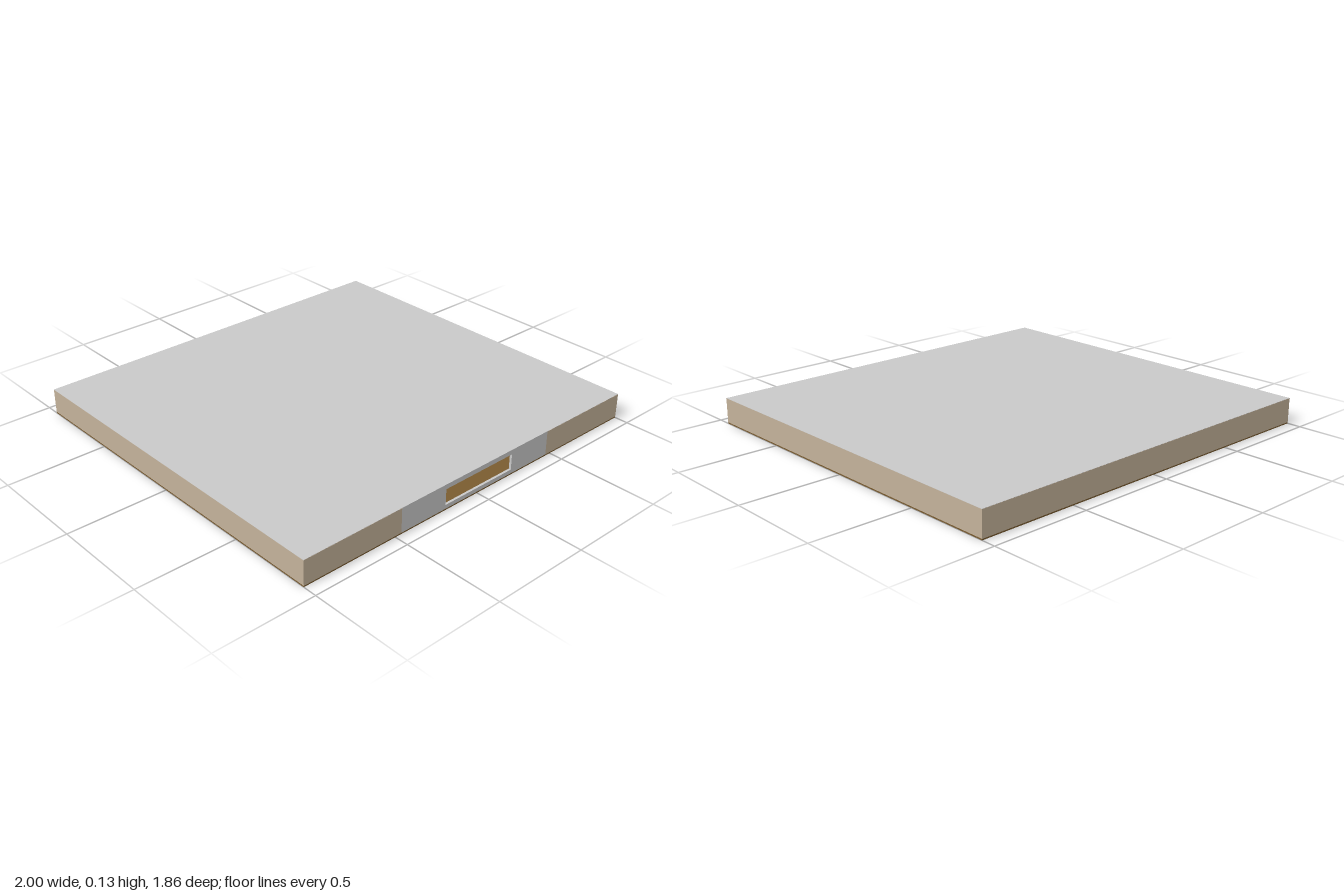
import * as THREE from 'three';

const mat = (name, color, extra = {}) => Object.assign(new THREE.MeshStandardMaterial({ color, ...extra }), { name });

export function createModel() {
  const model = new THREE.Group();
  model.name = 'building';
  const beige = mat('beige wall', 0xc4b29a);
  const grey = mat('light grey', 0xc9c9c9);
  const wood = mat('wood floor', 0x7a5c30);
  const dark = mat('dark furniture', 0x6a6c70);
  const W = 2, D = 1.86, H = 0.13, T = 0.012, F = 0.006;

  // Box given by its minimum and maximum corners
  const box = (name, material, x0, x1, y0, y1, z0, z1, parent = model) => {
    const m = new THREE.Mesh(new THREE.BoxGeometry(x1 - x0, y1 - y0, z1 - z0), material);
    m.position.set((x0 + x1) / 2, (y0 + y1) / 2, (z0 + z1) / 2);
    m.name = name;
    parent.add(m);
    return m;
  };

  // Floor, roof and outer walls
  const top = H - F;
  box('floor', wood, -W / 2, W / 2, 0, F, -D / 2, D / 2);
  box('roof', grey, -W / 2, W / 2, top, H, -D / 2, D / 2);
  box('roofEdgeBack', beige, -W / 2, W / 2, top, H - 0.001, -D / 2 - 0.001, -D / 2);
  box('backWall', beige, -W / 2, W / 2, F, top, -D / 2, -D / 2 + T);
  for (const s of [-1, 1]) {
    const x = s * (W / 2 - T / 2);
    box(s < 0 ? 'rightWall' : 'leftWall', beige, x - T / 2, x + T / 2, F, top, -D / 2 + T, D / 2 - T);
    box('roofEdgeSide', beige, s * W / 2 - 0.0005, s * W / 2 + 0.0005, top, H - 0.001, -D / 2, D / 2);
  }

  // Front wall: beige ends and a grey middle with a long opening
  box('frontWallRight', beige, -W / 2, -0.465, F, top, D / 2 - T, D / 2);
  box('frontWallLeft', beige, 0.468, W / 2, F, top, D / 2 - T, D / 2);
  box('roofEdgeFront', beige, -W / 2, -0.465, top, H - 0.001, D / 2, D / 2 + 0.001);
  box('roofEdgeFront', beige, 0.468, W / 2, top, H - 0.001, D / 2, D / 2 + 0.001);
  const rect = (P, x0, x1, y0, y1) => new P([[x0, y0], [x1, y0], [x1, y1], [x0, y1]].map(p => new THREE.Vector2(...p)));
  const panel = rect(THREE.Shape, -0.465, 0.468, F, top);
  panel.holes.push(rect(THREE.Path, -0.2, 0.224, 0.026, 0.106));
  const front = new THREE.Mesh(new THREE.ExtrudeGeometry(panel, { depth: T, bevelEnabled: false }), grey);
  front.position.z = D / 2 - T;
  front.name = 'frontWallMiddle';
  model.add(front);

  // Inner partitions: [x0, x1, z0, z1]
  const rooms = new THREE.Group();
  rooms.name = 'partitions';
  model.add(rooms);
  box('corridorWall', grey, -0.988, 0.3, F, top, -0.34, -0.33, rooms);
  for (const x of [-0.73, -0.5, -0.29, 0, 0.17]) box('roomWall', grey, x, x + 0.01, F, top, -0.91, -0.34, rooms);
  box('sideRoomWall', grey, -0.87, -0.34, F, top, 0.37, 0.38, rooms);
  box('sideRoomWall', grey, 0.54, 0.55, F, top, 0.45, 0.84, rooms);

  // Beige doors on the corridor wall, seen through the opening
  for (const [x0, x1] of [[-0.18, -0.125], [0.05, 0.1], [0.17, 0.224]])
    box('door', beige, x0, x1, F, top, -0.33, -0.326, rooms);

  // Low furniture in the hall
  box('bench', grey, -0.11, 0.21, 0.03, 0.04, -0.3, -0.24);
  for (const x of [-0.1, -0.03, 0.05, 0.19]) box('benchLeg', dark, x, x + 0.006, F, 0.03, -0.28, -0.26);
  box('chair', dark, -0.11, -0.075, F, 0.048, -0.22, -0.18);
  box('stool', dark, 0.11, 0.13, F, 0.042, -0.22, -0.2);
  box('cabinet', grey, 0.16, 0.215, F, 0.05, -0.22, -0.18);

  return model;
}
